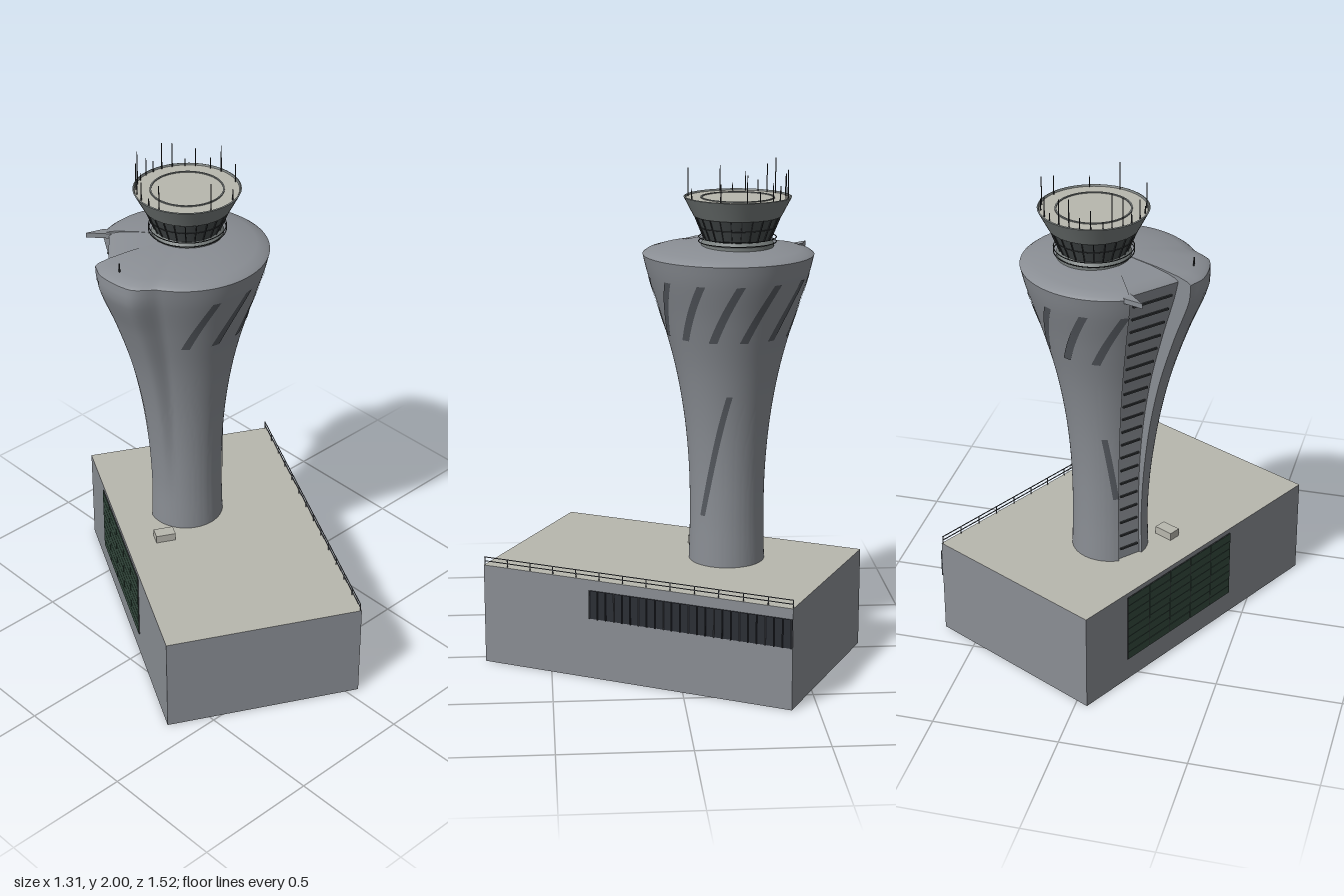
import * as THREE from 'three';
import { toCreasedNormals } from 'three/addons/utils/BufferGeometryUtils.js';

const mat = (name, color, side = THREE.FrontSide) => {
  const m = new THREE.MeshStandardMaterial({ color, side });
  m.name = name;
  return m;
};
const M = {
  wall: mat('concrete grey', 0x8a8e94, THREE.DoubleSide),
  roof: mat('roof stone', 0xb8b7ae, THREE.DoubleSide),
  slit: mat('slit window grey', 0x565a60, THREE.DoubleSide),
  band: mat('cab metal', 0x777d7c, THREE.DoubleSide),
  glass: mat('dark glass', 0x2b2e35),
  cabGlass: mat('cab glass', 0x44494a, THREE.DoubleSide),
  green: mat('green panel', 0x344a3e),
  dark: mat('dark metal', 0x303335),
  brown: mat('brown slab', 0x85724c),
};
const DEG = Math.PI / 180;
const CX = 0.005, CZ = -0.21;      // shaft axis
const TOP = 1.64, BASE = 0.405;

function add(parent, name, geo, material, x = 0, y = 0, z = 0) {
  const m = new THREE.Mesh(geo, material);
  m.name = name;
  m.position.set(x, y, z);
  parent.add(m);
  return m;
}
const box = (p, name, m, w, h, d, x, y, z) => add(p, name, new THREE.BoxGeometry(w, h, d), m, x, y, z);

// Surface through rows of points
function skin(rows, crease = 0.6) {
  const pos = rows.flat().flatMap(p => [p.x, p.y, p.z]);
  const n = rows[0].length, idx = [];
  for (let i = 0; i < rows.length - 1; i++)
    for (let j = 0; j < n - 1; j++) {
      const a = i * n + j, b = a + 1, c = a + n, d = c + 1;
      idx.push(a, c, b, b, c, d);
    }
  const g = new THREE.BufferGeometry();
  g.setAttribute('position', new THREE.Float32BufferAttribute(pos, 3));
  g.setIndex(idx);
  return toCreasedNormals(g, crease);
}

// Piecewise smooth lookup of a value by height
function lookup(table, y) {
  let i = 0;
  while (i < table.length - 2 && y > table[i + 1][0]) i++;
  const at = k => table[Math.min(Math.max(k, 0), table.length - 1)];
  const [y0, v0] = at(i), [y1, v1] = at(i + 1);
  const t = THREE.MathUtils.clamp((y - y0) / (y1 - y0), 0, 1);
  const s = k => (at(k + 1)[1] - at(k - 1)[1]) / (at(k + 1)[0] - at(k - 1)[0]) * (y1 - y0);
  const t2 = t * t, t3 = t2 * t;
  return (2 * t3 - 3 * t2 + 1) * v0 + (t3 - 2 * t2 + t) * s(i) + (3 * t2 - 2 * t3) * v1 + (t3 - t2) * s(i + 1);
}
const radius = y => lookup([[0.4, 0.151], [0.6, 0.147], [0.8, 0.152], [1, 0.171], [1.2, 0.207], [1.4, 0.262], [1.57, 0.316], [1.64, 0.333]], y);
const bulge = y => lookup([[0.4, 0], [0.6, 0.003], [0.9, 0.02], [1.2, 0.035], [1.4, 0.046], [1.57, 0.058], [1.64, 0.042]], y);

// Point at angle a (degrees from -x towards -z) around the shaft
const polar = (a, r, y) => new THREE.Vector3(CX - r * Math.cos(a * DEG), y, CZ - r * Math.sin(a * DEG));

// Cross-section: round shell with a side lobe and a straight recessed channel
const CH0 = 20, CH1 = 62, INSET = 0.92;
function section(y) {
  const R = radius(y), B = bulge(y), ss = THREE.MathUtils.smoothstep, pts = [];
  for (let i = 0; i <= 106; i++) {
    const a = CH1 - 360 + i * 3;
    pts.push(polar(a, R + B * ss(a, -32, -14) * (1 - 0.35 * ss(a, 8, 20)), y));
  }
  const p = polar(CH0, R * INSET, y), q = polar(CH1, R * INSET, y);
  for (let i = 0; i <= 4; i++) pts.push(p.clone().lerp(q, i / 4));
  pts.push(pts[0].clone());
  return pts;
}

function buildShaft(g) {
  const rows = [];
  for (let i = 0; i <= 40; i++) rows.push(section(0.4 + (TOP - 0.4) * i / 40));
  add(g, 'shaft', skin(rows), M.wall);

  // Shallow domed cover
  const rim = section(TOP);
  const cover = [[1, 1.64], [0.96, 1.65], [0.85, 1.661], [0.6, 1.675], [0.3, 1.684], [0.01, 1.686]]
    .map(([f, y]) => rim.map(p => new THREE.Vector3(CX + (p.x - CX) * f, y, CZ + (p.z - CZ) * f)));
  add(g, 'shaftCover', skin(cover), M.wall);

  // Pointed fin beside the channel
  const tri = new THREE.Shape([[-0.083, 0.403], [-0.131, 0.516], [-0.204, 0.54]].map(p => new THREE.Vector2(...p)));
  const fin = new THREE.ExtrudeGeometry(tri, { depth: 0.02, bevelEnabled: false }).rotateX(-Math.PI / 2);
  add(g, 'coverFin', fin, M.wall, 0, 1.63, 0);

  // Slats across the channel
  for (let i = 0; i < 20; i++) {
    const y = 0.45 + i * 0.06, r = radius(y) * INSET;
    const p = polar(CH0 + 1, r, y), q = polar(CH1 - 1, r, y), c = p.clone().lerp(q, 0.5);
    const s = box(g, 'channelSlat', M.dark, p.distanceTo(q) * 0.85, 0.007, 0.012, c.x, c.y, c.z);
    s.rotation.y = Math.atan2(-(q.z - p.z), q.x - p.x);
  }

  // Slanted slit windows following the shell
  const slit = (a0, y0, a1, y1, w) => {
    const rows = [];
    for (let i = 0; i <= 16; i++) {
      const t = i / 16, y = y0 + (y1 - y0) * t, a = a0 + (a1 - a0) * t, r = radius(y) + 0.003;
      const h = w / 2 / r / DEG;
      rows.push([-1, -0.33, 0.33, 1].map(k => polar(a + k * h, r, y)));
    }
    add(g, 'slitWindow', skin(rows), M.slit);
  };
  for (let k = 0; k < 9; k++) slit(-49 - 28 * k, 1.33, -71.5 - 28 * k, 1.56, 0.034);
  slit(225, 0.61, 183, 1.11, 0.024);
  slit(66, 0.69, 82, 0.97, 0.024);

  add(g, 'lobeMast', new THREE.CylinderGeometry(0.003, 0.003, 0.06, 6), M.dark, -0.317, 1.665, -0.21);
}

function buildCab(g) {
  const lathe = (name, pts, m) =>
    add(g, name, toCreasedNormals(new THREE.LatheGeometry(pts.map(p => new THREE.Vector2(...p)), 48), 0.5), m);
  lathe('cabPedestal', [[0.14, 1.665], [0.14, 1.69], [0.128, 1.705]], M.band);
  lathe('cabWindows', [[0.128, 1.705], [0.165, 1.795]], M.cabGlass);
  lathe('cabBand', [[0.165, 1.792], [0.17, 1.795], [0.208, 1.868], [0.203, 1.87], [0.199, 1.862]], M.band);
  lathe('cabRoof', [[0.2, 1.863], [0.143, 1.863]], M.roof);
  lathe('cabRoofRing', [[0.143, 1.863], [0.143, 1.867], [0.137, 1.867], [0.137, 1.863]], M.band);
  lathe('cabRoofCentre', [[0.137, 1.863], [0.0001, 1.863]], M.roof);
  for (const [y, r] of [[1.695, 0.15], [1.712, 0.15], [1.752, 0.148]])
    add(g, 'cabRail', new THREE.TorusGeometry(r, 0.002, 5, 48).rotateX(Math.PI / 2), M.dark, 0, y, 0);

  // Leaning mullions around the glass
  for (let i = 0; i < 24; i++) {
    const pivot = new THREE.Group();
    pivot.name = 'cabMullion';
    pivot.rotation.y = i * Math.PI / 12;
    const m = box(pivot, 'mullion', M.dark, 0.004, 0.097, 0.004, 0, 1.75, 0.148);
    m.rotation.x = Math.atan2(0.037, 0.09);
    g.add(pivot);
  }

  // Antennas on the rim, mostly to the rear and left
  [95, 110, 128, 140, 155, 168, 180, 192, 205, 215, 228, 240, 255, 270, 285, 345, 20, 65].forEach((d, i) => {
    const h = i === 9 ? 0.137 : [0.11, 0.045, 0.075, 0.03, 0.1][i % 5];
    add(g, 'antenna', new THREE.CylinderGeometry(0.0018, 0.0025, h, 5), M.dark,
      0.194 * Math.sin(d * DEG), 1.863 + h / 2, 0.194 * Math.cos(d * DEG));
  });
}

function buildBase(g) {
  const W = 0.787, L = 1.308, X = W / 2;
  // Open-bottomed hall
  for (const s of [-1, 1]) {
    add(g, 'endWall', new THREE.PlaneGeometry(W, BASE), M.wall, 0, BASE / 2, s * L / 2).rotation.y = s > 0 ? 0 : Math.PI;
    add(g, 'sideWall', new THREE.PlaneGeometry(L, BASE), M.wall, s * X, BASE / 2, 0).rotation.y = s * Math.PI / 2;
  }
  add(g, 'hallRoof', new THREE.PlaneGeometry(W, L).rotateX(-Math.PI / 2), M.roof, 0, BASE, 0);
  box(g, 'innerSlab', M.brown, 0.42, 0.06, 0.24, 0.17, 0.13, 0.16);

  // Window band with fins
  box(g, 'windowBand', M.glass, 0.009, 0.115, 0.842, X, 0.305, -0.232);
  for (let i = 0; i <= 24; i++)
    box(g, 'windowFin', i % 3 ? M.glass : M.slit, 0.014, 0.115, 0.004, X + 0.003, 0.305, -0.65 + i * 0.0349);

  // Green shutters with slat lines
  box(g, 'shutterFrame', M.dark, 0.006, 0.29, 0.62, -X, 0.24, -0.11);
  for (let i = 0; i < 5; i++) {
    const z = -0.11 + (i - 2) * 0.124;
    for (let j = 0; j < 8; j++)
      box(g, 'shutterSlat', M.green, 0.009, 0.0335, 0.12, -X, 0.113 + j * 0.0363, z);
  }

  // Roof railing along one long edge
  for (const y of [0.421, 0.437]) box(g, 'railing', M.slit, 0.003, 0.003, L, X - 0.006, y, 0);
  for (let i = 0; i <= 13; i++)
    box(g, 'railingPost', M.slit, 0.003, 0.032, 0.003, X - 0.006, 0.421, -L / 2 + 0.002 + i * (L - 0.004) / 13);
}

export function createModel() {
  const model = new THREE.Group();
  model.name = 'controlTower';
  const part = name => {
    const g = new THREE.Group();
    g.name = name;
    model.add(g);
    return g;
  };
  const base = part('hall');
  base.rotation.y = -0.481;
  buildBase(base);
  const unit = box(model, 'roofUnit', M.roof, 0.08, 0.032, 0.05, -0.205, BASE + 0.016, -0.11);
  unit.rotation.y = -0.481;
  buildShaft(part('tower'));
  const cab = part('cab');
  cab.position.set(0.055, 0, -0.24);
  buildCab(cab);
  return model;
}
